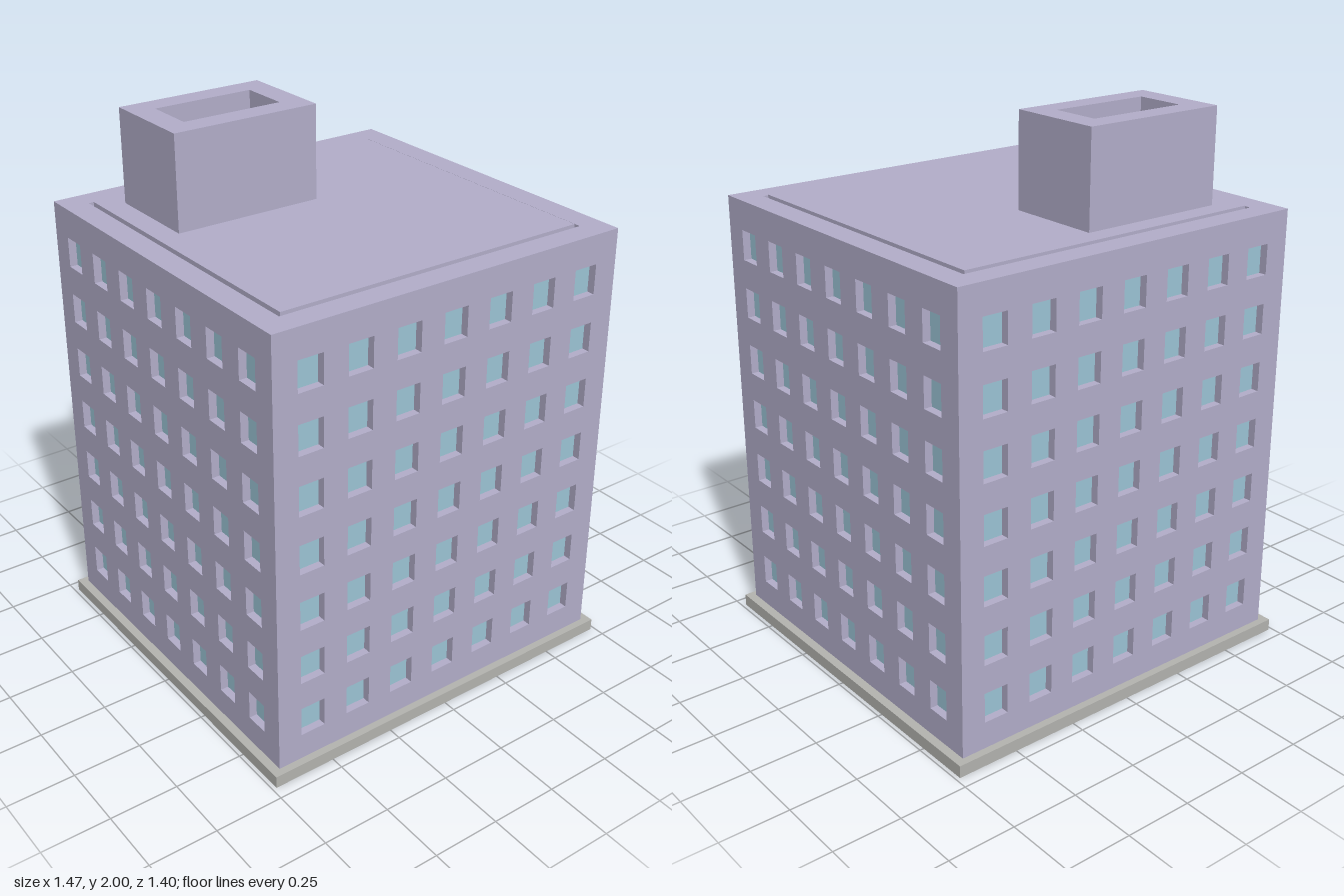
import * as THREE from 'three';

const W = 1.405, D = 1.35;            // outer walls
const Y0 = 0.045, YT = 1.64, RIM = 1.652;
const REVEAL = 0.03;                  // window depth
const N = 7;                          // windows per row and per column

const wallMat = new THREE.MeshStandardMaterial({ color: 0xb3aeca, flatShading: true });
const glassMat = new THREE.MeshStandardMaterial({ color: 0x9cc5d6, flatShading: true });
const baseMat = new THREE.MeshStandardMaterial({ color: 0xb4b4b0, flatShading: true });

function mesh(name, geo, mat, x = 0, y = 0, z = 0) {
  const m = new THREE.Mesh(geo, mat);
  m.name = name;
  m.position.set(x, y, z);
  return m;
}

const box = (name, w, h, d, mat, x, y, z) =>
  mesh(name, new THREE.BoxGeometry(w, h, d), mat, x, y + h / 2, z);

// Trace a rectangle into a Shape or Path
function rect(path, cx, cy, w, h) {
  path.moveTo(cx - w / 2, cy - h / 2);
  path.lineTo(cx + w / 2, cy - h / 2);
  path.lineTo(cx + w / 2, cy + h / 2);
  path.lineTo(cx - w / 2, cy + h / 2);
  path.closePath();
  return path;
}

// Upright rectangular ring between two heights
function ring(name, w, d, holeW, holeD, y0, y1, x, z) {
  const shape = rect(new THREE.Shape(), 0, 0, w, d);
  shape.holes.push(rect(new THREE.Path(), 0, 0, holeW, holeD));
  const geo = new THREE.ExtrudeGeometry(shape, { depth: y1 - y0, bevelEnabled: false });
  geo.rotateX(-Math.PI / 2);
  return mesh(name, geo, wallMat, x, y0, z);
}

// Wall pierced by a grid of windows with set-back glass; outer face at z = dist
function facade(name, width, pitch, winW, dist, angle) {
  const group = new THREE.Group();
  group.name = name;
  const winH = 0.11;
  const shape = rect(new THREE.Shape(), 0, (Y0 + YT) / 2, width, YT - Y0);
  for (let row = 0; row < N; row++) {
    for (let col = 0; col < N; col++) {
      const x = (col - (N - 1) / 2) * pitch;
      const y = 0.199 + row * 0.215;
      shape.holes.push(rect(new THREE.Path(), x, y, winW, winH));
      group.add(mesh('windowGlass', new THREE.PlaneGeometry(winW, winH), glassMat, x, y, dist - REVEAL + 0.001));
    }
  }
  const geo = new THREE.ExtrudeGeometry(shape, { depth: REVEAL, bevelEnabled: false });
  group.add(mesh('wall', geo, wallMat, 0, 0, dist - REVEAL));
  group.rotation.y = angle;
  return group;
}

export function createModel() {
  const model = new THREE.Group();
  model.name = 'apartmentBlock';

  // Plinth and solid core behind the walls
  model.add(box('plinth', 1.47, Y0, 1.405, baseMat, 0, 0, 0));
  model.add(box('core', W - 2 * REVEAL, YT - Y0, D - 2 * REVEAL, wallMat, 0, Y0, 0));

  // Four window walls; the side walls fit between front and back
  for (const s of [0, 1]) {
    model.add(facade(s ? 'backWall' : 'frontWall', W, 0.188, 0.095, D / 2, s * Math.PI));
    model.add(facade(s ? 'rightWall' : 'leftWall', D - 2 * REVEAL, 0.181, 0.09, W / 2,
      Math.PI / 2 + s * Math.PI));
  }

  // Roof: rim, narrow gutter and raised deck
  model.add(ring('roofRim', W, D, 1.225, 1.17, YT, RIM, 0, 0));
  model.add(box('roofDeck', 1.2, 0.018, 1.145, wallMat, 0, YT, 0));

  // Hollow stair tower on the roof
  model.add(ring('roofTower', 0.56, 0.36, 0.38, 0.185, YT, 2, -0.236, -0.318));

  return model;
}
